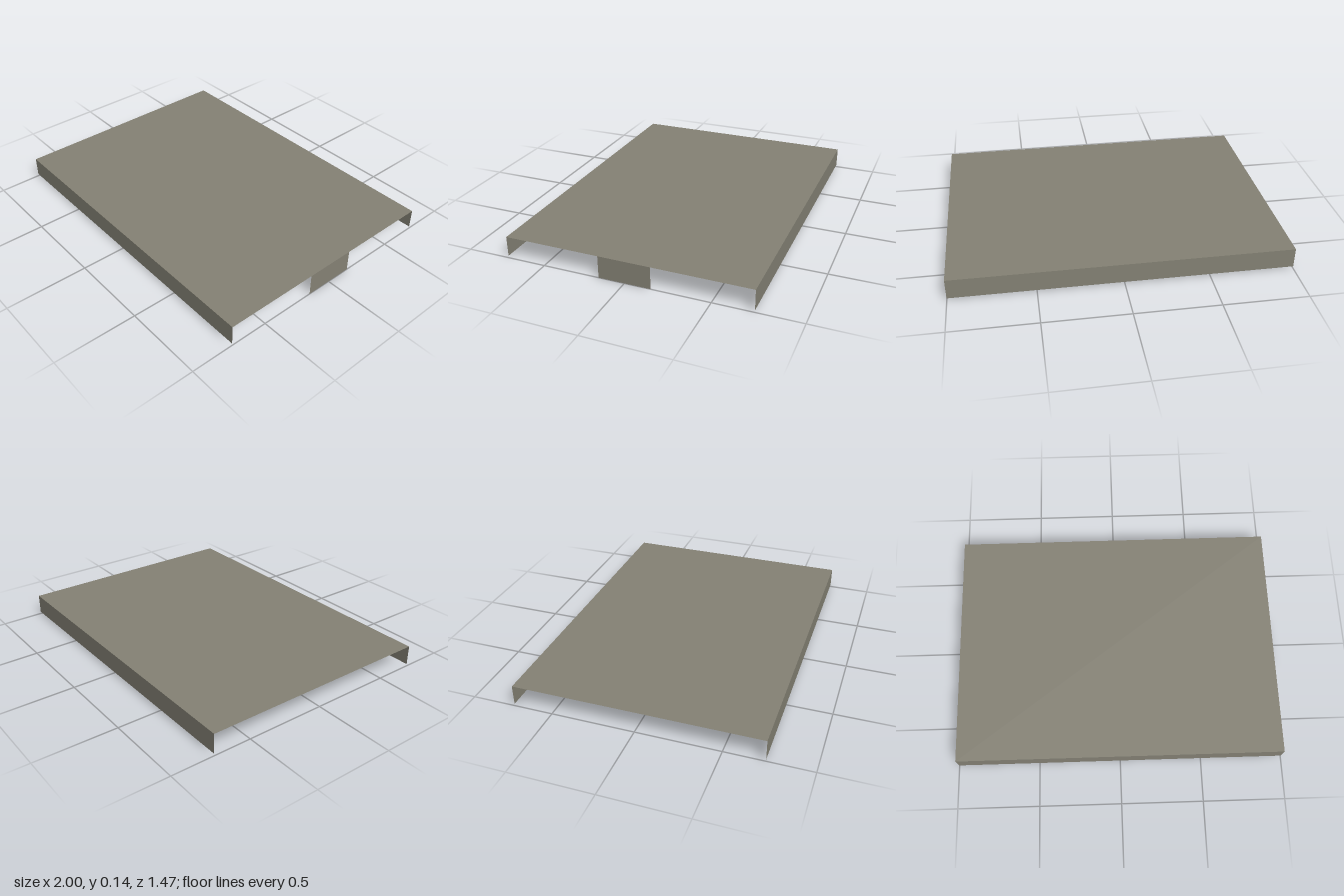
import * as THREE from 'three';

const TOP = 0.135, HALF_DEPTH = 0.736, FLANGE = 0.122, RIB_WIDTH = 0.312;

export function createModel() {
  const model = new THREE.Group();
  model.name = 'deckPanel';
  const metal = new THREE.MeshStandardMaterial({ color: 0x858275 });
  metal.name = 'greyMetal';
  metal.side = THREE.DoubleSide; // open sheet surfaces

  const sheet = (name, width, height) => {
    const mesh = new THREE.Mesh(new THREE.PlaneGeometry(width, height), metal);
    mesh.name = name;
    model.add(mesh);
    return mesh;
  };

  // Flat deck
  const deck = sheet('deck', 2, 2 * HALF_DEPTH);
  deck.rotation.x = -Math.PI / 2;
  deck.position.y = TOP;

  // Folded edges along the front and back
  for (const side of [1, -1]) {
    const flange = sheet(side > 0 ? 'frontFlange' : 'backFlange', 2, FLANGE);
    flange.position.set(0, TOP - FLANGE / 2, side * HALF_DEPTH);
    if (side < 0) flange.rotation.y = Math.PI;
  }

  // Row of upright tabs under the deck, starting at the +x end
  for (let i = 0; i < 5; i++) {
    const tab = sheet(`supportTab${i + 1}`, RIB_WIDTH, TOP);
    tab.rotation.y = Math.PI / 2;
    tab.position.set(1 - 0.4 * i, TOP / 2, 0);
  }
  return model;
}
